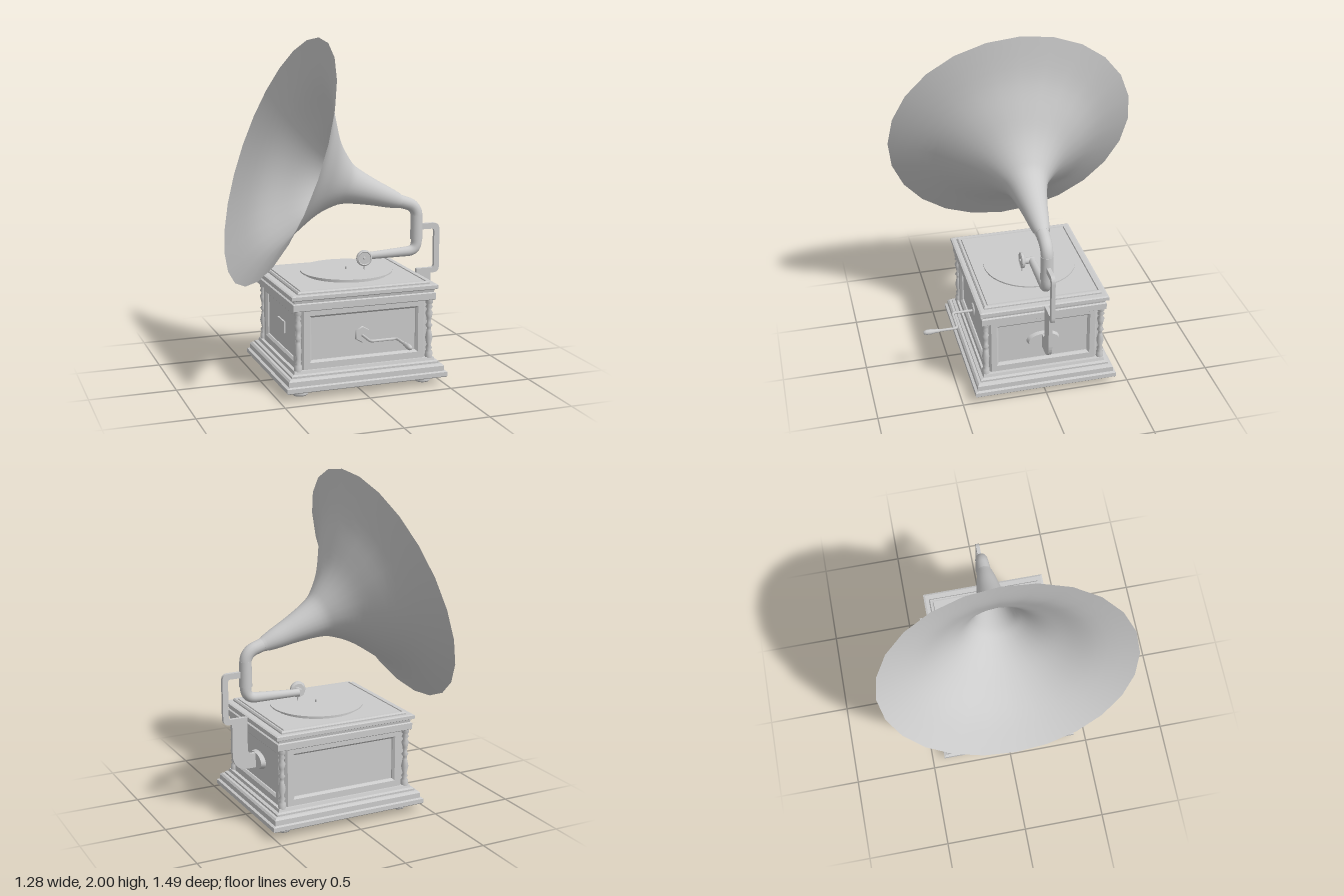
import * as THREE from 'three';
import { toCreasedNormals } from 'three/addons/utils/BufferGeometryUtils.js';

const material = new THREE.MeshStandardMaterial({ color: 0xcccccc, side: THREE.DoubleSide });
const V = (x, y, z = 0) => new THREE.Vector3(x, y, z);

function add(parent, name, geometry, x = 0, y = 0, z = 0) {
  const mesh = new THREE.Mesh(geometry, material);
  mesh.name = name;
  mesh.position.set(x, y, z);
  parent.add(mesh);
  return mesh;
}

// Rectangular moulding: profile rows are [half width, y]; depth is narrower by a fixed amount
function moulding(profile, narrower = 0.062) {
  const pos = [], index = [];
  for (const [h, y] of profile) {
    const d = h - narrower;
    pos.push(-h, y, d, h, y, d, h, y, -d, -h, y, -d);
  }
  const n = profile.length;
  for (let i = 0; i < n - 1; i++) for (let j = 0; j < 4; j++) {
    const a = i * 4 + j, b = i * 4 + (j + 1) % 4;
    index.push(a, b, b + 4, a, b + 4, a + 4);
  }
  const t = (n - 1) * 4;
  index.push(0, 2, 1, 0, 3, 2, t, t + 1, t + 2, t, t + 2, t + 3);
  const g = new THREE.BufferGeometry();
  g.setAttribute('position', new THREE.Float32BufferAttribute(pos, 3));
  g.setIndex(index);
  const flat = g.toNonIndexed();
  flat.computeVertexNormals();
  return flat;
}

const lathe = (points, segments) =>
  new THREE.LatheGeometry(points.map(([r, y]) => new THREE.Vector2(r, y)), segments);

const rect = (Path, w, y0, y1) => new Path([[-w, y0], [w, y0], [w, y1], [-w, y1]]
  .map(([x, y]) => new THREE.Vector2(x, y)));

// Tube whose radius runs from r0 to r1 along the path
function taperedTube(path, r0, r1, steps = 40, sides = 16) {
  const g = new THREE.TubeGeometry(path, steps, 1, sides);
  const p = g.attributes.position, v = V(0, 0);
  for (let i = 0; i < p.count; i++) {
    const t = Math.floor(i / (sides + 1)) / steps;
    const c = path.getPointAt(t);
    v.fromBufferAttribute(p, i).sub(c).multiplyScalar(r0 + (r1 - r0) * t).add(c);
    p.setXYZ(i, v.x, v.y, v.z);
  }
  return g;
}

// Straight runs joined by rounded corners
function roundedPath(points, radius) {
  const path = new THREE.CurvePath();
  let from = points[0];
  for (let i = 1; i < points.length - 1; i++) {
    const c = points[i];
    const a = points[i - 1].clone().sub(c).setLength(radius).add(c);
    const b = points[i + 1].clone().sub(c).setLength(radius).add(c);
    path.add(new THREE.LineCurve3(from, a));
    path.add(new THREE.QuadraticBezierCurve3(a, c, b));
    from = b;
  }
  path.add(new THREE.LineCurve3(from, points[points.length - 1]));
  return path;
}

function createCabinet() {
  const cabinet = new THREE.Group();
  cabinet.name = 'cabinet';
  cabinet.position.x = 0.024;

  add(cabinet, 'basePlinth', moulding([[0.482, 0.045], [0.487, 0.05], [0.487, 0.075], [0.472, 0.08],
    [0.472, 0.11], [0.462, 0.12], [0.448, 0.122], [0.448, 0.133], [0.43, 0.138], [0.425, 0.155]]));
  add(cabinet, 'bodyCore', new THREE.BoxGeometry(0.772, 0.36, 0.66), 0, 0.325, 0);
  add(cabinet, 'cornice', moulding([[0.425, 0.498], [0.432, 0.503], [0.432, 0.54], [0.422, 0.545],
    [0.425, 0.56], [0.443, 0.568], [0.443, 0.588], [0.432, 0.592]]));
  add(cabinet, 'lid', moulding([[0.4, 0.588], [0.4, 0.6], [0.393, 0.608], [0.384, 0.608],
    [0.381, 0.6], [0.377, 0.6], [0.374, 0.608]], 0.05));

  // Recessed panel frame on each of the four sides
  for (let i = 0; i < 4; i++) {
    const side = i % 2 === 1;
    const shape = rect(THREE.Shape, side ? 0.312 : 0.365, 0.15, 0.505);
    shape.holes.push(rect(THREE.Path, side ? 0.28 : 0.33, 0.192, 0.466));
    const frame = new THREE.ExtrudeGeometry(shape, {
      depth: 0.012, bevelThickness: 0.012, bevelSize: 0.012, bevelSegments: 1 });
    const holder = new THREE.Group();
    holder.name = 'side';
    holder.rotation.y = i * Math.PI / 2;
    cabinet.add(holder);
    add(holder, 'panelFrame', frame, 0, 0, side ? 0.382 : 0.326);
  }

  // Turned corner columns and feet
  const column = lathe([[0.022, 0.15], [0.022, 0.185], [0.013, 0.195], [0.02, 0.21], [0.012, 0.225],
    [0.022, 0.27], [0.013, 0.315], [0.011, 0.33], [0.021, 0.345], [0.011, 0.36], [0.015, 0.39],
    [0.022, 0.42], [0.012, 0.44], [0.021, 0.455], [0.014, 0.47], [0.022, 0.48], [0.022, 0.505]], 12);
  const foot = toCreasedNormals(lathe([[0, 0], [0.04, 0], [0.047, 0.008], [0.047, 0.05]], 20), 0.6);
  for (const sx of [-1, 1]) for (const sz of [-1, 1]) {
    add(cabinet, 'cornerColumn', column, sx * 0.4, 0, sz * 0.346);
    add(cabinet, 'foot', foot, sx * 0.377, 0, sz * 0.307);
  }

  add(cabinet, 'sidePlate', new THREE.BoxGeometry(0.012, 0.07, 0.13), -0.39, 0.33, 0);
  const flange = add(cabinet, 'bracketFlange', new THREE.CylinderGeometry(0.09, 0.1, 0.03, 32), 0.397, 0.33, 0);
  flange.rotation.z = -Math.PI / 2;
  flange.scale.x = 0.53;
  return cabinet;
}

function createTurntable() {
  const turntable = new THREE.Group();
  turntable.name = 'turntable';
  turntable.position.set(0.04, 0, -0.01);
  add(turntable, 'platter', new THREE.CylinderGeometry(0.25, 0.25, 0.02, 40), 0, 0.612, 0);
  add(turntable, 'record', new THREE.CylinderGeometry(0.275, 0.275, 0.008, 40), 0, 0.627, 0);
  add(turntable, 'spindle', new THREE.CylinderGeometry(0.006, 0.006, 0.02, 10), 0, 0.636, 0);
  return turntable;
}

function createCrank() {
  const crank = new THREE.Group();
  crank.name = 'crank';
  const plate = new THREE.CylinderGeometry(0.045, 0.05, 0.01, 6).rotateX(Math.PI / 2);
  add(crank, 'crankPlate', plate, 0.015, 0.325, 0.334);
  const path = roundedPath([V(0.015, 0.32, 0.32), V(0.015, 0.32, 0.462), V(0.176, 0.32, 0.462),
    V(0.176, 0.32, 0.6)], 0.02);
  add(crank, 'crankRod', new THREE.TubeGeometry(path, 50, 0.008, 10));
  const handle = lathe([[0, 0], [0.009, 0], [0.013, 0.012], [0.011, 0.025], [0.016, 0.055],
    [0.015, 0.08], [0.009, 0.094], [0, 0.096]], 14);
  add(crank, 'crankHandle', handle, 0.176, 0.32, 0.57).rotation.x = Math.PI / 2;
  return crank;
}

function createToneArm() {
  const arm = new THREE.Group();
  arm.name = 'toneArm';
  const lower = roundedPath([V(0.15, 0.702), V(0.487, 0.714), V(0.487, 0.8)], 0.06);
  add(arm, 'lowerTube', taperedTube(lower, 0.021, 0.034));
  add(arm, 'sleeve', new THREE.CylinderGeometry(0.036, 0.038, 0.15, 20), 0.487, 0.86, 0);
  const upper = roundedPath([V(0.487, 0.92), V(0.487, 0.985), V(0.35, 1.03)], 0.065);
  add(arm, 'elbow', taperedTube(upper, 0.035, 0.04));

  // Round sound box with its needle
  add(arm, 'soundBoxJoint', new THREE.CylinderGeometry(0.02, 0.02, 0.07, 14).rotateX(Math.PI / 2), 0.14, 0.703, 0.02);
  const disc = lathe([[0, -0.014], [0.036, -0.014], [0.048, -0.007], [0.048, 0.007],
    [0.04, 0.012], [0.036, 0.008], [0.01, 0.008], [0.008, 0.014], [0, 0.014]], 24);
  add(arm, 'soundBox', toCreasedNormals(disc, 0.5), 0.13, 0.704, 0.056).rotation.x = Math.PI / 2;
  add(arm, 'needle', new THREE.CylinderGeometry(0.006, 0.002, 0.04, 8), 0.13, 0.65, 0.056);
  return arm;
}

// Flat bracket that carries the arm from the cabinet side
function createBracket() {
  const s = new THREE.Shape();
  s.moveTo(0.42, 0.375);
  s.lineTo(0.455, 0.375);
  s.quadraticCurveTo(0.485, 0.377, 0.485, 0.41);
  s.lineTo(0.485, 0.602);
  s.lineTo(0.585, 0.602);
  s.quadraticCurveTo(0.6, 0.602, 0.6, 0.62);
  s.lineTo(0.6, 0.825);
  s.quadraticCurveTo(0.6, 0.842, 0.585, 0.842);
  s.lineTo(0.5, 0.842);
  s.lineTo(0.5, 0.877);
  s.lineTo(0.595, 0.877);
  s.quadraticCurveTo(0.634, 0.877, 0.634, 0.835);
  s.lineTo(0.634, 0.61);
  s.quadraticCurveTo(0.634, 0.57, 0.595, 0.57);
  s.lineTo(0.58, 0.57);
  s.lineTo(0.58, 0.38);
  s.quadraticCurveTo(0.575, 0.29, 0.49, 0.287);
  s.lineTo(0.42, 0.287);
  const bar = new THREE.ExtrudeGeometry(s, { depth: 0.022, bevelEnabled: false, curveSegments: 8 });
  return add(new THREE.Group(), 'armBracket', bar, 0, 0, -0.011);
}

function createHorn() {
  const horn = new THREE.Group();
  horn.name = 'horn';
  horn.position.set(-0.387, 1.3, 0);
  horn.rotation.z = -Math.PI / 2 - 0.352;
  const flare = new THREE.SplineCurve([[0.743, 0], [0.527, 0.095], [0.363, 0.205], [0.247, 0.295],
    [0.162, 0.39], [0.116, 0.468], [0.08, 0.618], [0.06, 0.735], [0.046, 0.8]]
    .map(([r, y]) => new THREE.Vector2(r, y)));
  add(horn, 'hornBell', new THREE.LatheGeometry(flare.getPoints(32), 24));
  add(horn, 'hornCollar', new THREE.CylinderGeometry(0.041, 0.046, 0.03, 24), 0, 0.8, 0);
  return horn;
}

export function createModel() {
  const model = new THREE.Group();
  model.name = 'hornRecordPlayer';
  model.add(createCabinet(), createTurntable(), createCrank(), createToneArm(), createBracket(), createHorn());
  return model;
}
